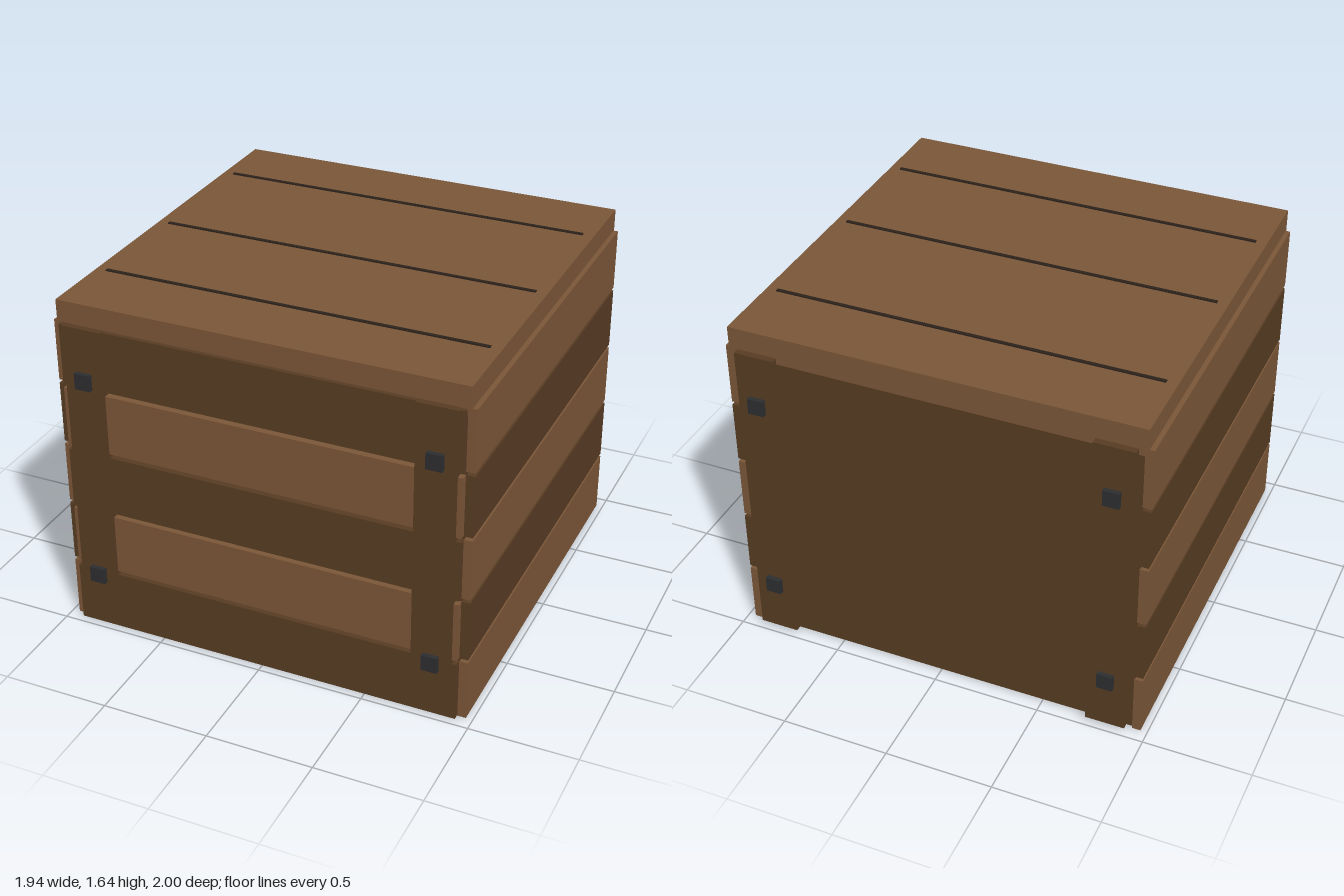
import * as THREE from 'three';

const mat = (name, color) => {
  const m = new THREE.MeshStandardMaterial({ color });
  m.name = name;
  return m;
};

export function createModel() {
  const lightWood = mat('lightWood', 0x7a5537);
  const darkWood = mat('darkWood', 0x563b23);
  const iron = mat('iron', 0x2c2d2f);
  const seam = mat('darkSeam', 0x2c221b);

  const crate = new THREE.Group();
  crate.name = 'crate';

  // Box given by its min and max corners
  const box = (name, material, x0, x1, y0, y1, z0, z1) => {
    const mesh = new THREE.Mesh(new THREE.BoxGeometry(x1 - x0, y1 - y0, z1 - z0), material);
    mesh.position.set((x0 + x1) / 2, (y0 + y1) / 2, (z0 + z1) / 2);
    mesh.name = name;
    crate.add(mesh);
  };

  // Inner body, also the plain back and the underside
  box('body', darkWood, -0.93, 0.93, 0.005, 1.51, -0.93, 0.935);

  // Five rows of planks, front and sides alternating in opposite order
  for (let i = 0; i < 5; i++) {
    const y0 = i * 0.309, y1 = y0 + 0.293;
    const odd = i % 2 === 1;
    box('frontPlank', odd ? lightWood : darkWood, -0.928, 0.928, y0 + 0.004, y1, 0.93, 0.967);
    box('rightPlank', odd ? darkWood : lightWood, -0.968, -0.928, y0, y1, -0.937, 0.937);
    box('leftPlank', odd ? darkWood : lightWood, 0.928, 0.968, y0, y1, -0.937, 0.937);
  }

  // Corner posts with two square bolts each, front and back
  for (const sx of [-1, 1]) {
    for (const sz of [-1, 1]) {
      const x = sx * 0.813;
      const span = (a, b) => (sz > 0 ? [a, b] : [-b, -a]);
      box('post', darkWood, x - 0.092, x + 0.092, 0.025, 1.53, ...span(0.925, 0.978));
      for (const y of [0.283, 1.283]) {
        box('bolt', iron, x - 0.037, x + 0.037, y - 0.038, y + 0.038, ...span(0.97, 1));
      }
    }
  }

  // Lid with three seams
  box('lid', lightWood, -0.946, 0.946, 1.5, 1.632, -0.947, 0.947);
  for (const z of [-0.608, 0.047, 0.608]) {
    box('lidSeam', seam, -0.895, 0.895, 1.631, 1.638, z - 0.008, z + 0.008);
  }

  return crate;
}
